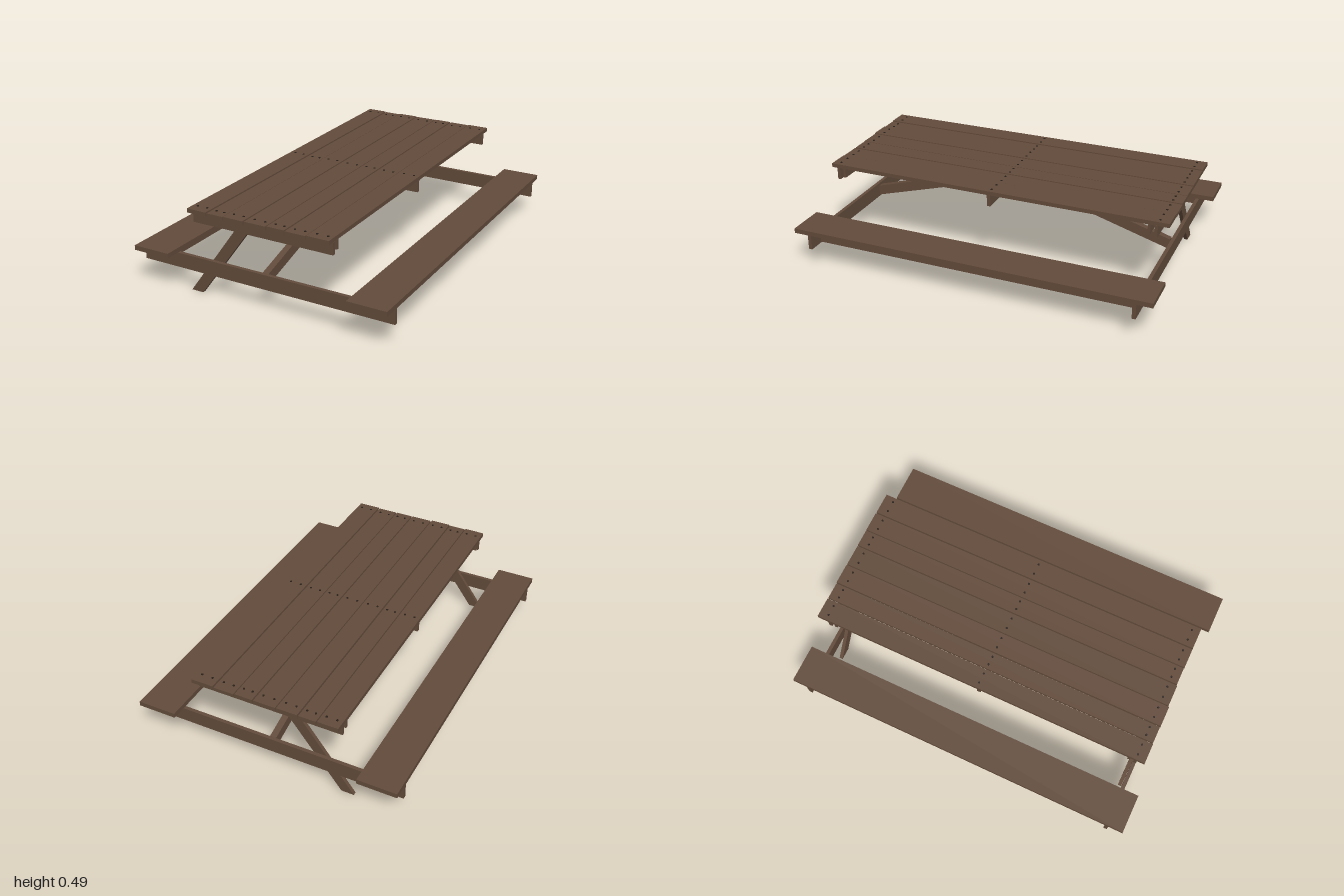
import * as THREE from 'three';

export function createModel() {
  const model = new THREE.Group();
  model.name = 'picnicTable';
  const wood = new THREE.MeshStandardMaterial({ color: 0x614a3a });
  wood.name = 'brown wood';
  const nail = new THREE.MeshStandardMaterial({ color: 0x2a201a });
  nail.name = 'dark nail';

  const add = (name, geometry, material = wood) => {
    const mesh = new THREE.Mesh(geometry, material);
    mesh.name = name;
    model.add(mesh);
    return mesh;
  };
  // Board given by its limits on each axis
  const board = (name, x0, x1, y0, y1, z0, z1) =>
    add(name, new THREE.BoxGeometry(x1 - x0, y1 - y0, z1 - z0))
      .position.set((x0 + x1) / 2, (y0 + y1) / 2, (z0 + z1) / 2);
  // Slanted board cut from a flat outline, centred on its thickness
  const slanted = (name, points, depth) => {
    const shape = new THREE.Shape(points.map(([x, y]) => new THREE.Vector2(x, y)));
    const geometry = new THREE.ExtrudeGeometry(shape, { depth, bevelEnabled: false });
    geometry.translate(0, 0, -depth / 2);
    return add(name, geometry);
  };

  // Tabletop planks: x limits, z limits, top height
  const planks = [
    [-0.413, -0.300, -0.970, 0.956, 0.490],
    [-0.293, -0.199, -0.970, 0.954, 0.487],
    [-0.193, -0.078, -0.972, 0.956, 0.490],
    [-0.072, 0.050, -0.972, 0.951, 0.488],
    [0.056, 0.155, -0.973, 0.947, 0.489],
    [0.161, 0.275, -0.975, 0.949, 0.487],
    [0.281, 0.404, -0.973, 0.949, 0.490],
  ];
  const nailGeometry = new THREE.CylinderGeometry(0.006, 0.006, 0.004, 8);
  for (const [x0, x1, z0, z1, top] of planks) {
    board('tabletopPlank', x0, x1, 0.468, top, z0, z1);
    // Pairs of nails over each cross beam
    for (const z of [-0.918, -0.008, 0.905])
      for (const t of [0.27, 0.77])
        add('nail', nailGeometry, nail).position.set(x0 + t * (x1 - x0), top + 0.001, z);
  }

  // Middle beam under the tabletop
  board('middleBeam', -0.405, 0.405, 0.405, 0.469, -0.012, 0.008);

  // Benches with a stiffening rail below each
  for (const side of [-1, 1]) {
    const x = side * 0.63;
    board('benchSeat', x - 0.108, x + 0.108, 0.206, 0.232, -1, 1);
    board('benchRail', x - 0.02, x + 0.02, 0.13, 0.207, -0.898, 0.898);
  }

  // Both ends: cross beams, slanted leg and diagonal brace
  for (const end of [-1, 1]) {
    const span = (a, b) => (end > 0 ? [a, b] : [-b, -a]);
    board('benchCrossBeam', -0.738, 0.738, 0.125, 0.206, ...span(0.898, 0.918));
    board('outerTableBeam', -0.408, 0.406, 0.403, 0.469, ...span(0.898, 0.915));
    board('innerTableBeam', -0.408, 0.406, 0.418, 0.469, ...span(0.864, 0.878));

    slanted('leg', [[-0.46, 0], [-0.39, 0], [-0.042, 0.468], [-0.118, 0.468]], 0.02)
      .position.z = end * 0.888;

    slanted('brace', [[0, 0.4], [0.89, 0.14], [0.89, 0.198], [0, 0.463]], 0.035)
      .rotation.y = -end * Math.PI / 2;
  }
  return model;
}
